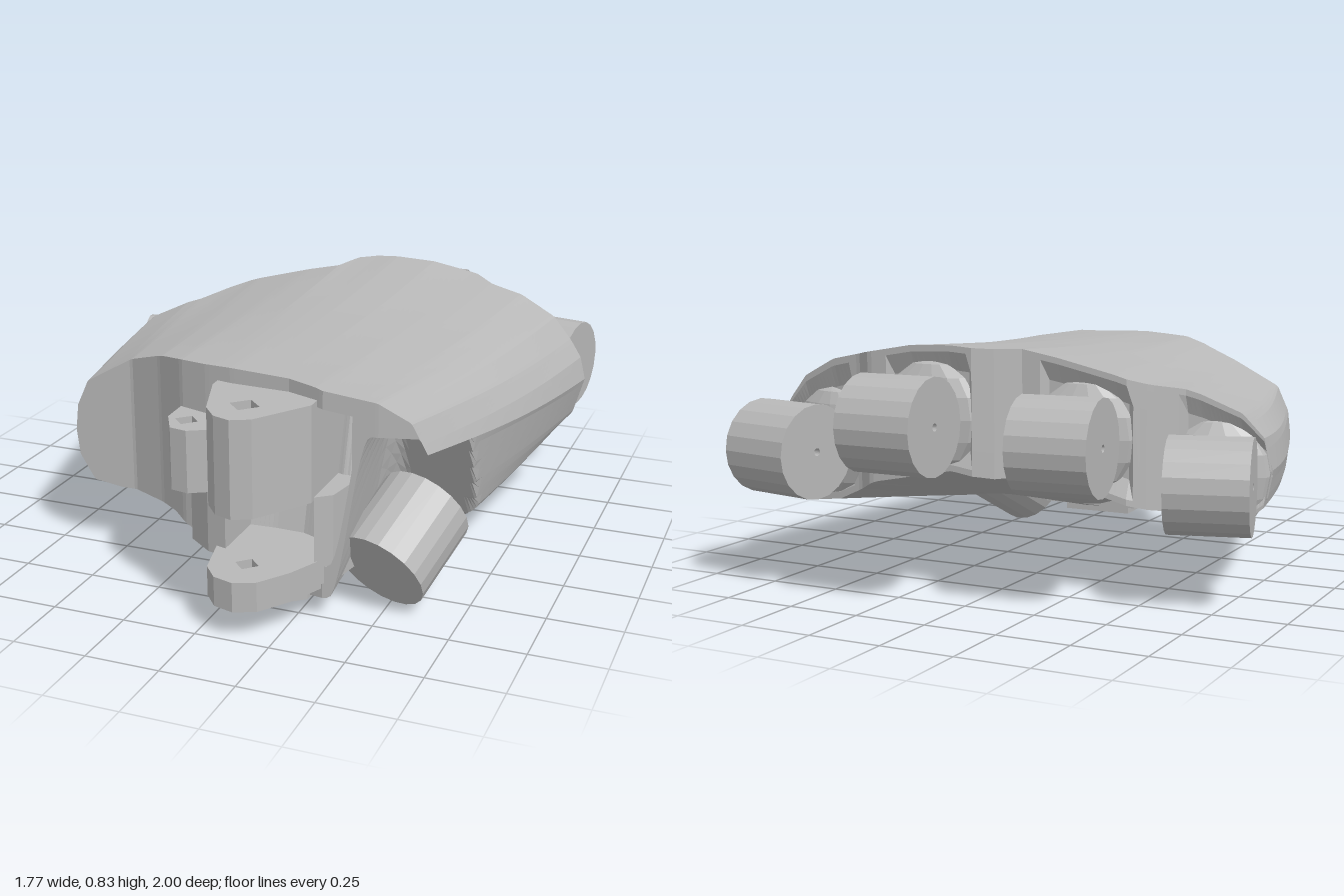
import * as THREE from 'three';

// Piecewise linear lookup in a list of [x, value] pairs
function look(table, x) {
  if (x <= table[0][0]) return table[0][1];
  for (let i = 1; i < table.length; i++) {
    const [x0, y0] = table[i - 1], [x1, y1] = table[i];
    if (x <= x1) return y0 + (y1 - y0) * (x - x0) / (x1 - x0);
  }
  return table[table.length - 1][1];
}
const lerp = THREE.MathUtils.lerp;
const smooth = THREE.MathUtils.smoothstep;

// Palm outline and heights across the knuckle end and the wrist end
const KNUCKLE = {
  z: [[-.84, -.22], [-.57, -.3], [-.5, -.42], [-.44, -.47], [-.08, -.51], [-.05, -.62], [.02, -.66], [.42, -.65], [.5, -.58], [.88, -.52]],
  top: [[-.84, .42], [-.82, .53], [-.75, .61], [-.62, .67], [-.4, .74], [-.2, .79], [-.05, .82], [.1, .83], [.25, .825], [.45, .79], [.62, .755], [.75, .69], [.82, .61], [.86, .55], [.88, .47]],
  bottom: [[-.84, .42], [-.82, .3], [-.76, .25], [-.6, .27], [-.3, .36], [.1, .42], [.4, .36], [.6, .27], [.75, .25], [.84, .33], [.88, .47]],
};
const WRIST = {
  z: [[-.66, .53], [-.45, .505], [-.32, .56], [-.2, .64], [-.1, .67], [0, .69], [.2, .7], [.33, .75], [.5, .73], [.65, .69]],
  top: [[-.66, .43], [-.65, .52], [-.61, .61], [-.45, .7], [-.3, .75], [-.2, .77], [0, .78], [.3, .77], [.5, .74], [.6, .68], [.65, .58]],
  bottom: [[-.66, .43], [-.65, .34], [-.6, .25], [-.5, .23], [-.25, .22], [-.12, .17], [0, .09], [.1, .055], [.2, .05], [.3, .065], [.5, .09], [.6, .2], [.65, .58]],
};
// Knuckle barrels: centre x, y, z and turn about y
const FINGERS = [
  ['littleKnuckle', -.715, .4, -.433, .26],
  ['ringKnuckle', -.305, .53, -.66, .1],
  ['middleKnuckle', .185, .59, -.84, 0],
  ['indexKnuckle', .685, .465, -.735, -.2],
];

function palmGeometry() {
  const cols = 110, rows = 32, pos = [], index = [];
  let ring = 0;
  for (let i = 0; i <= cols; i++) {
    // columns crowd towards the rounded sides
    const even = i / cols;
    const u = lerp(even, .5 - .5 * Math.cos(Math.PI * even), .6);
    const xb = lerp(-.84, .88, u), xf = lerp(-.66, .65, u);
    const zb = look(KNUCKLE.z, xb), zf = look(WRIST.z, xf);
    const at = v => {
      const x = lerp(xb, xf, v) * (1 + .025 * Math.sin(Math.PI * v)), z = lerp(zb, zf, v);
      const top = lerp(look(KNUCKLE.top, xb), look(WRIST.top, xf), v) - .012 * Math.sin(Math.PI * v);
      let bottom = lerp(look(KNUCKLE.bottom, xb), look(WRIST.bottom, xf), v);
      // slanted cut that makes room for the thumb
      const cut = Math.min(.63, .13 + (z - .2) * 1.9);
      bottom = lerp(bottom, Math.max(bottom, cut), smooth(x, .35, .48));
      return { x, z, top, bottom: Math.min(bottom, top) };
    };
    const loop = [];
    for (let j = 0; j <= rows; j++) { const p = at(j / rows); loop.push([p.x, p.top, p.z]); }
    // wrist end with its pocket, whose floor slopes up towards the back
    const f = at(1), deep = xf > -.01 && xf < .42 ? .28 : 0;
    const fTop = Math.max(f.top - .06, (f.top + f.bottom) / 2);
    const fLow = Math.min(f.bottom + .11, (f.top + f.bottom) / 2);
    loop.push([f.x, fTop, f.z], [f.x, fTop, f.z - deep], [f.x, fLow, f.z - deep * .4], [f.x, fLow, f.z]);
    for (let j = rows; j >= 0; j--) { const p = at(j / rows); loop.push([p.x, p.bottom, p.z]); }
    // knuckle end with shallow sockets between fins
    const b = at(0), h = b.top - b.bottom;
    const near = FINGERS.some(k => Math.abs(k[1] - xb) < .15);
    const dent = near ? .025 : 0;
    loop.push([b.x, b.bottom + h * .05, b.z], [b.x, b.bottom + h * .2, b.z + dent],
      [b.x, b.top - h * .2, b.z + dent], [b.x, b.top - h * .05, b.z]);
    ring = loop.length;
    pos.push(...loop.flat());
  }
  for (let i = 0; i < cols; i++) for (let k = 0; k < ring; k++) {
    const a = i * ring + k, b = i * ring + (k + 1) % ring;
    index.push(a, b, b + ring, a, b + ring, a + ring);
  }
  const g = new THREE.BufferGeometry();
  g.setAttribute('position', new THREE.Float32BufferAttribute(pos, 3));
  g.setIndex(index);
  g.computeVertexNormals();
  return g;
}

// Upright plate cut from an x/z outline, with an optional square pin hole [x, z, radius]
function lugGeometry(outline, y0, y1, pin) {
  const s = new THREE.Shape(outline.map(([x, z]) => new THREE.Vector2(x, -z)));
  if (pin) {
    const hole = new THREE.Path();
    hole.absarc(pin[0], -pin[1], pin[2], 0, Math.PI * 2, true);
    s.holes.push(hole);
  }
  const g = new THREE.ExtrudeGeometry(s, { depth: y1 - y0, bevelEnabled: false, curveSegments: 2 });
  return g.rotateX(-Math.PI / 2).translate(0, y0, 0);
}

// Barrel along x with a fine pin hole
function barrelGeometry(radius, length) {
  const s = new THREE.Shape().absarc(0, 0, radius, 0, Math.PI * 2, false);
  const hole = new THREE.Path();
  hole.absarc(0, 0, .013, 0, Math.PI * 2, true);
  s.holes.push(hole);
  return new THREE.ExtrudeGeometry(s, { depth: length, bevelEnabled: false, curveSegments: 10 })
    .translate(0, 0, -length / 2).rotateY(Math.PI / 2);
}

export function createModel() {
  const model = new THREE.Group();
  const grey = new THREE.MeshStandardMaterial({ color: 0xb8b8b8, flatShading: true });
  grey.name = 'plain grey';
  const add = (name, geometry, parent = model) => {
    const m = new THREE.Mesh(geometry, grey);
    m.name = name;
    parent.add(m);
    return m;
  };

  add('palm', palmGeometry());

  // finger knuckles, each with a low domed seat against the palm
  for (const [name, x, y, z, turn] of FINGERS) {
    const g = new THREE.Group();
    g.name = name;
    g.position.set(x, y, z);
    g.rotation.y = turn;
    add('barrel', barrelGeometry(.16, .27), g);
    const seat = add('seat', new THREE.SphereGeometry(1, 14, 8), g);
    seat.scale.set(.18, .19, .06);
    seat.position.z = .205;
    model.add(g);
  }

  // thumb knuckle, tilted up towards the palm
  const from = new THREE.Vector3(.485, .14, .64), to = new THREE.Vector3(.56, .285, .4);
  const axis = to.clone().sub(from);
  const thumb = add('thumbKnuckle', new THREE.CylinderGeometry(.16, .16, axis.length(), 20));
  thumb.position.copy(from).add(to).multiplyScalar(.5);
  thumb.quaternion.setFromUnitVectors(new THREE.Vector3(0, 1, 0), axis.clone().normalize());

  // wrist hinge lugs
  add('upperWristLug', lugGeometry([[-.06, .5], [-.05, .72], [.02, .92], [.07, .98], [.13, 1],
    [.19, .97], [.25, .88], [.31, .79], [.31, .5]], .41, .73, [.12, .86, .05]));
  add('lowerWristLug', lugGeometry([[-.04, .5], [-.03, .75], [.01, .92], [.06, .98], [.13, 1],
    [.2, .97], [.27, .87], [.33, .74], [.34, .5]], .1, .2, [.12, .86, .04]));
  add('lowerLugHeel', lugGeometry([[.03, .6], [.04, .76], [.12, .8], [.22, .8], [.28, .75], [.3, .6]], .055, .12));
  add('sideWristLug', lugGeometry([[-.21, .45], [-.2, .74], [-.15, .83], [-.09, .84], [-.02, .8],
    [.02, .45]], .4, .61, [-.13, .75, .04]));

  // webs that join the upper and lower lugs on each side of the opening
  add('sideWeb', lugGeometry([[-.17, .5], [-.15, .69], [-.06, .76], [.01, .78], [.01, .5]], .17, .41));
  add('thumbWeb', lugGeometry([[.31, .5], [.31, .77], [.36, .73], [.4, .5]], .12, .42));
  return model;
}
